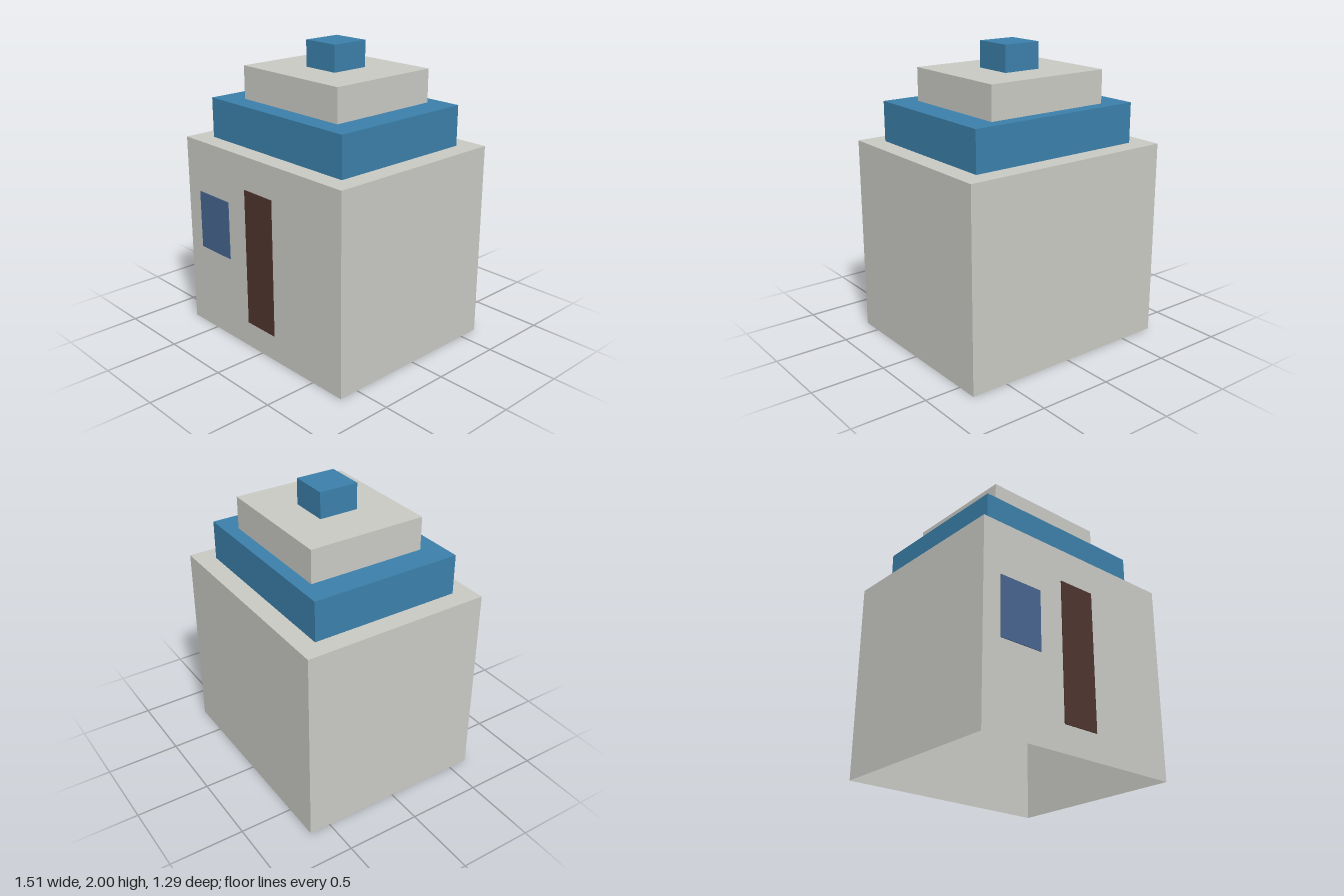
import * as THREE from 'three';

const BOTTOM = 3, BACK = 5; // face order of BoxGeometry: +x -x +y -y +z -z

const material = (name, color) =>
  new THREE.MeshStandardMaterial({ name, color, side: THREE.DoubleSide });

// Box between two corners with one face left open
function openBox(name, mat, [x0, y0, z0], [x1, y1, z1], openFace) {
  const geo = new THREE.BoxGeometry(x1 - x0, y1 - y0, z1 - z0);
  const index = Array.from(geo.index.array);
  index.splice(openFace * 6, 6);
  geo.setIndex(index);
  geo.clearGroups();
  geo.translate((x0 + x1) / 2, (y0 + y1) / 2, (z0 + z1) / 2);
  const mesh = new THREE.Mesh(geo, mat);
  mesh.name = name;
  return mesh;
}

export function createModel() {
  const stone = material('pale stone', 0xc9c9c4);
  const blue = material('roof blue', 0x3b80aa);
  const glass = material('window blue', 0x46648e);
  const wood = material('dark wood', 0x4e342e);

  const group = new THREE.Group();
  group.name = 'steppedHouse';

  // Hollow walls and the stacked roof tiers, each open underneath
  const tiers = [
    ['walls', stone, [-0.753, 0, -0.643], [0.753, 1.333, 0.638]],
    ['lowerRoof', blue, [-0.622, 1.333, -0.513], [0.622, 1.603, 0.511]],
    ['upperRoof', stone, [-0.443, 1.603, -0.422], [0.441, 1.825, 0.376]],
    ['roofCap', blue, [-0.133, 1.825, -0.159], [0.132, 2, 0.109]],
  ];
  for (const [name, mat, a, b] of tiers) group.add(openBox(name, mat, a, b, BOTTOM));

  // Door and window panels set through the front wall, open on the inside
  group.add(openBox('door', wood, [-0.133, 0.178, 0.605], [0.132, 1.111, 0.643], BACK));
  group.add(openBox('window', glass, [-0.623, 0.578, 0.605], [-0.312, 0.979, 0.643], BACK));

  return group;
}
